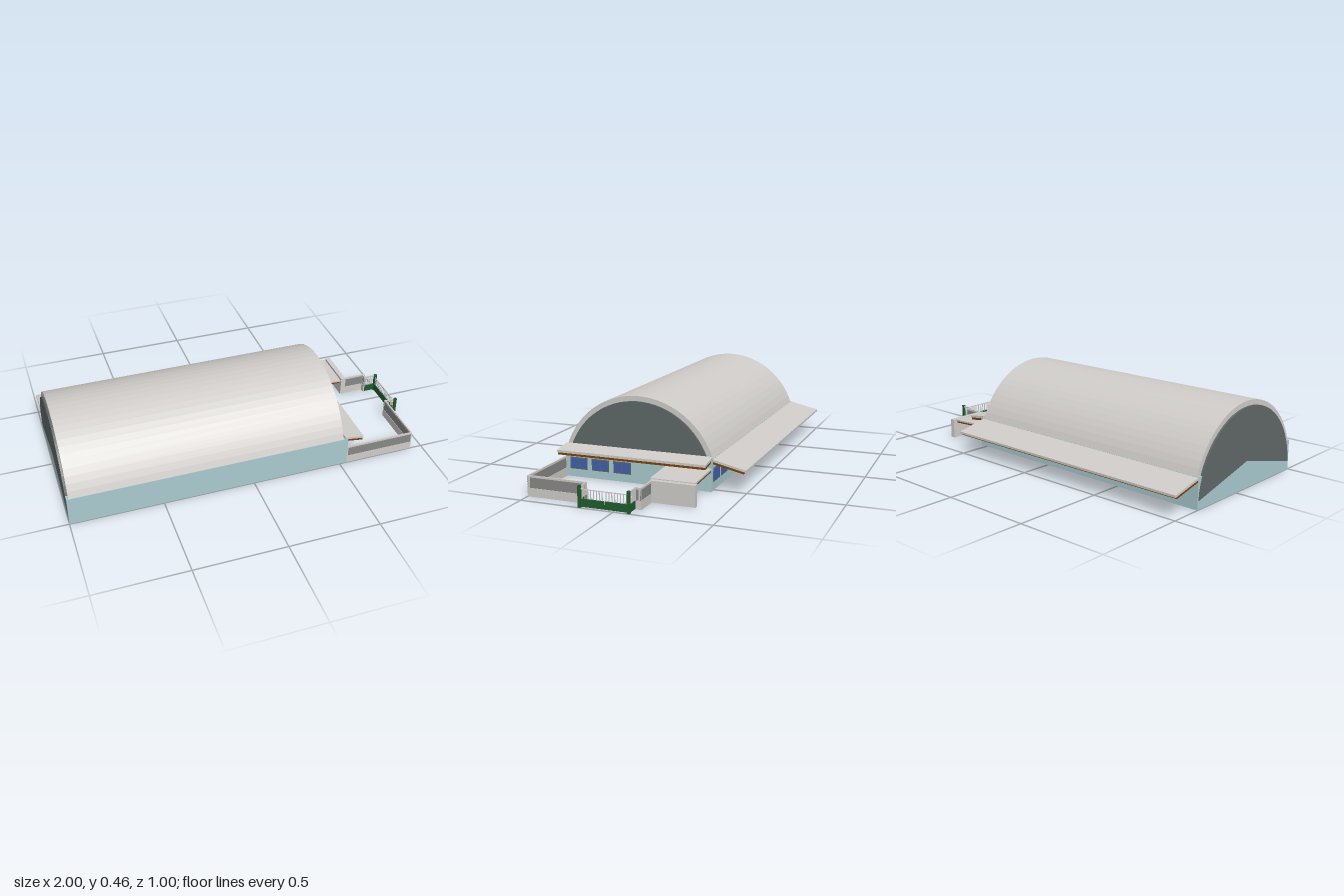
import * as THREE from 'three';

const mat = (name, color, side = THREE.FrontSide) => {
  const m = new THREE.MeshStandardMaterial({ color, side });
  m.name = name;
  m.flatShading = true;
  return m;
};

export function createModel() {
  const root = new THREE.Group();
  root.name = 'vaultedHall';
  const pale = mat('pale grey', 0xcfccc9);
  const teal = mat('pale teal', 0xaacbcf);
  const slate = mat('dark slate', 0x5f6867);
  const brown = mat('timber brown', 0x7a430a);
  const green = mat('gate green', 0x205c2f);
  const panelGrey = mat('panel grey', 0x868886);
  const blue = mat('window blue', 0x3f60ae);

  const add = (parent, name, geo, material) => {
    const m = new THREE.Mesh(geo, material);
    m.name = name;
    parent.add(m);
    return m;
  };
  // Box given by its extents on each axis
  const box = (parent, name, material, x0, x1, y0, y1, z0, z1) => {
    const m = add(parent, name, new THREE.BoxGeometry(x1 - x0, y1 - y0, z1 - z0), material);
    m.position.set((x0 + x1) / 2, (y0 + y1) / 2, (z0 + z1) / 2);
    return m;
  };
  // Profile (a, y) extruded along z, or along x with a = -z
  const prism = (parent, name, material, pts, from, to, alongX) => {
    const shape = new THREE.Shape(pts.map(([a, y]) => new THREE.Vector2(a, y)));
    const geo = new THREE.ExtrudeGeometry(shape, { depth: to - from, bevelEnabled: false });
    geo.translate(0, 0, from);
    if (alongX) geo.rotateY(Math.PI / 2);
    return add(parent, name, geo, material);
  };

  // Main walls
  box(root, 'hallWalls', teal, -1, 0.54, 0, 0.165, -0.325, 0.5);

  // Barrel roof and its slightly projecting gable ends
  const CY = 0.022, CZ = 0.088;
  const arc = (r, yBase, n = 28) => {
    const a0 = Math.asin((yBase - CY) / r), pts = [];
    for (let i = 0; i <= n; i++) {
      const a = a0 + (Math.PI - 2 * a0) * i / n;
      pts.push([-CZ + r * Math.cos(a), CY + r * Math.sin(a)]);
    }
    return pts;
  };
  prism(root, 'barrelRoof', pale, arc(0.435, 0.165), -0.99, 0.512, true);
  prism(root, 'gableRight', slate, arc(0.408, 0.165), 0.5, 0.522, true);
  prism(root, 'gableLeft', slate, [...arc(0.408, 0.045), [-CZ, 0.145]], -1.001, -0.98, true);

  // Sloping canopies: pale slab over a timber soffit
  const canopy = (name, a0, a1, y0, y1, t, from, to, alongX, lip) => {
    const g = new THREE.Group();
    g.name = name;
    root.add(g);
    const slab = (part, m, end, top, thick, inset) => {
      const yEnd = y1 + (y0 - y1) * (a1 - end) / (a1 - a0);
      prism(g, part, m, [
        [a0, y0 - top - thick], [end, yEnd - top - thick], [end, yEnd - top], [a0, y0 - top],
      ], from + inset, to - inset, alongX);
    };
    slab('canopySlab', pale, a1, 0, t, 0);
    slab('canopySoffit', brown, a1 - lip, t, t, 0.002);
  };
  canopy('entranceCanopy', 0.522, 0.63, 0.178, 0.163, 0.013, -0.325, 0.5, false, 0.004);
  canopy('backCanopy', 0.32, 0.5, 0.165, 0.124, 0.012, -1, 0.52, true, 0.013);
  canopy('porchCanopy', 0.53, 0.765, 0.122, 0.111, 0.009, -0.325, -0.088, false, 0.004);

  // Framed two-pane windows
  const addWindow = (x, y, z, w, h, turn) => {
    const g = new THREE.Group();
    g.name = 'window';
    box(g, 'windowFrame', slate, -w / 2, w / 2, -h / 2, h / 2, -0.002, 0.003);
    for (const s of [-1, 1]) {
      const c = s * w * 0.235;
      box(g, 'windowPane', blue, c - w * 0.2, c + w * 0.2, -h * 0.42, h * 0.42, 0, 0.005);
    }
    g.position.set(x, y, z);
    g.rotation.y = turn;
    root.add(g);
  };
  for (let i = 0; i < 12; i++) addWindow(0.465 - i * 0.119, 0.082, -0.325, 0.094, 0.072, Math.PI);
  for (let i = 0; i < 3; i++) addWindow(0.54, 0.075, 0.42 - i * 0.126, 0.1, 0.064, Math.PI / 2);

  // Yard wall: solid plinth, recessed grey panel, coping and end posts
  const yardWall = (x0, x1, z0, z1) => {
    const g = new THREE.Group();
    g.name = 'yardWall';
    root.add(g);
    const alongX = x1 - x0 > z1 - z0;
    const dx = alongX ? 0 : 0.002, dz = alongX ? 0.002 : 0;
    box(g, 'wallPlinth', pale, x0, x1, 0, 0.045, z0, z1);
    box(g, 'wallPanel', panelGrey, x0 + dx, x1 - dx, 0.045, 0.099, z0 + dz, z1 - dz);
    box(g, 'wallCoping', pale, x0, x1, 0.099, 0.109, z0, z1);
    for (const e of [0, 1]) {
      if (alongX) {
        const p = e ? x1 - 0.006 : x0;
        box(g, 'wallPost', pale, p, p + 0.006, 0.045, 0.099, z0, z1);
      } else {
        const p = e ? z1 - 0.006 : z0;
        box(g, 'wallPost', pale, x0, x1, 0.045, 0.099, p, p + 0.006);
      }
    }
  };
  yardWall(0.54, 0.933, 0.492, 0.5);
  yardWall(0.925, 0.933, 0.172, 0.492);
  yardWall(0.8, 0.925, -0.112, -0.104);
  yardWall(0.917, 0.925, -0.104, -0.078);

  // Porch side wall
  box(root, 'porchWall', pale, 0.775, 0.802, 0, 0.11, -0.338, -0.1);

  // Green gate with side returns
  const gate = new THREE.Group();
  gate.name = 'gate';
  root.add(gate);
  for (const [z0, z1] of [[0.052, 0.174], [-0.074, 0.048]]) {
    box(gate, 'gateLeaf', green, 0.986, 0.993, 0.004, 0.044, z0, z1);
    box(gate, 'gateRail', pale, 0.987, 0.992, 0.089, 0.093, z0, z1);
    for (let i = 0; i < 8; i++) {
      const z = z0 + 0.008 + i * 0.0152;
      box(gate, 'gateBar', pale, 0.988, 0.991, 0.044, 0.089, z - 0.002, z + 0.002);
    }
  }
  for (const [z, x0] of [[0.176, 0.933], [-0.08, 0.925]]) {
    box(gate, 'returnPanel', green, x0, 0.986, 0.004, 0.044, z - 0.003, z + 0.003);
    box(gate, 'returnRail', pale, x0, 0.986, 0.099, 0.107, z - 0.003, z + 0.003);
    for (let i = 0; i < 4; i++) {
      const x = x0 + 0.008 + i * 0.0135;
      box(gate, 'returnBar', pale, x - 0.002, x + 0.002, 0.044, 0.099, z - 0.002, z + 0.002);
    }
  }
  for (const z of [0.18, -0.078]) box(gate, 'gatePost', green, 0.984, 1, 0, 0.11, z - 0.007, z + 0.007);

  return root;
}
